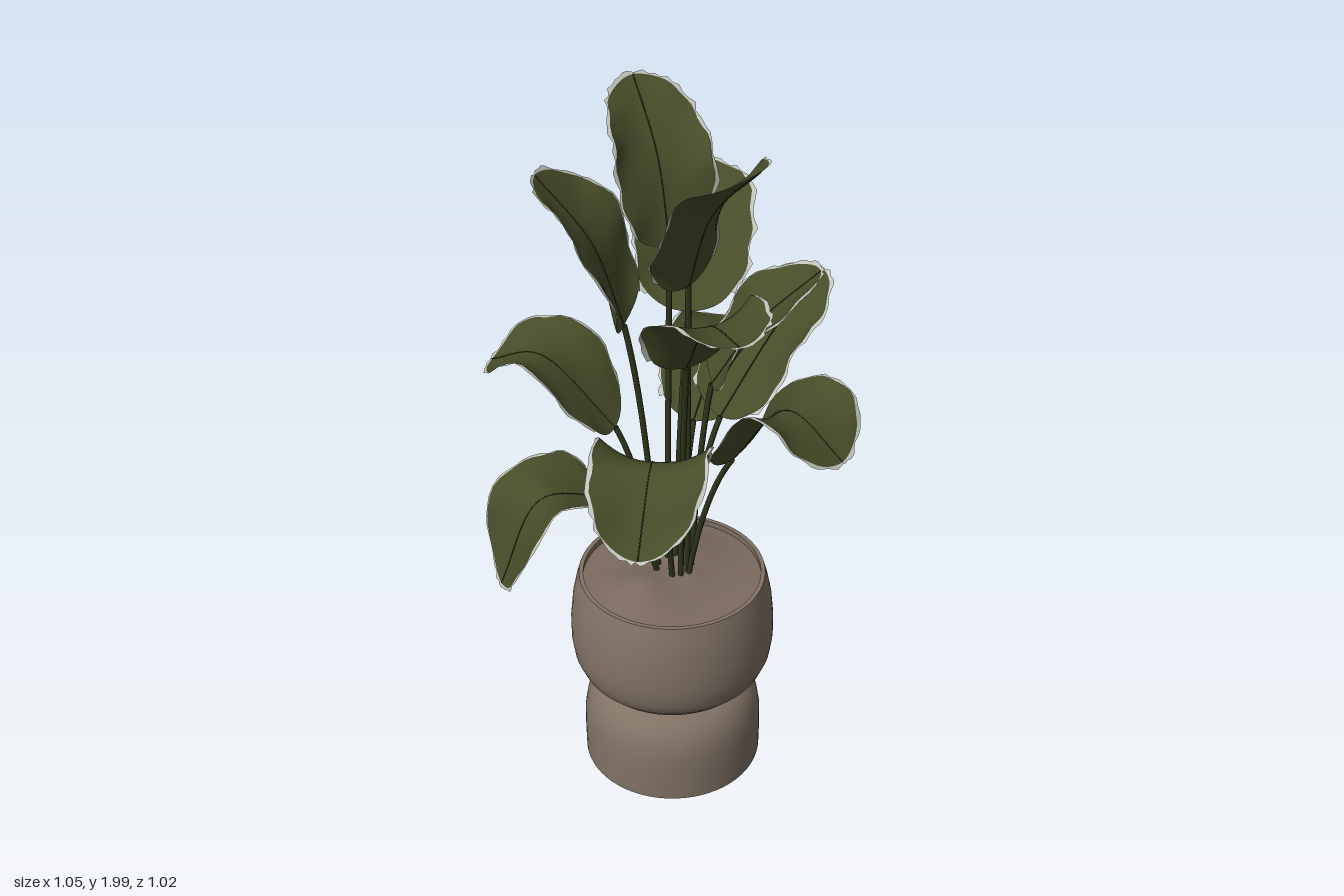
import * as THREE from 'three';

const material = (name, color) => {
  const m = new THREE.MeshStandardMaterial({ color, side: THREE.DoubleSide });
  m.name = name;
  return m;
};
const clay = material('clay', 0x817265);
const soilBrown = material('soil brown', 0x7c6b5f);
const leafGreen = material('leaf green', 0x474d29);
const stemGreen = material('stem green', 0x2e351b);
const rimGrey = material('pale leaf rim', 0xc2c4bd);

const CX = -0.02, CZ = -0.03; // pot axis

// Each leaf: base, middle and tip of the midrib, and half width
const LEAVES = [
  [[-0.09, 1.08, -0.17], [-0.18, 1.27, -0.36], [-0.24, 1.23, -0.48], 0.145],
  [[-0.19, 0.94, -0.10], [-0.37, 0.99, -0.17], [-0.48, 0.75, -0.22], 0.14],
  [[-0.10, 1.42, -0.12], [-0.14, 1.65, -0.19], [-0.21, 1.82, -0.31], 0.14],
  [[0.05, 1.60, -0.10], [0.08, 1.82, -0.17], [0.13, 1.98, -0.30], 0.125],
  [[-0.17, 1.09, 0.06], [-0.34, 1.25, 0.20], [-0.48, 1.09, 0.29], 0.14],
  [[-0.02, 1.56, 0.03], [-0.02, 1.79, 0.11], [0.00, 1.94, 0.24], 0.14],
  [[0.02, 1.07, 0.15], [0.03, 1.30, 0.33], [0.05, 1.21, 0.49], 0.145],
  [[0.07, 1.23, 0.03], [0.16, 1.41, 0.11], [0.28, 1.55, 0.21], 0.12],
  [[-0.07, 1.36, 0.07], [-0.15, 1.58, 0.22], [-0.21, 1.61, 0.37], 0.13],
  [[0.09, 1.40, -0.07], [0.25, 1.57, -0.20], [0.40, 1.64, -0.35], 0.15],
  [[0.14, 1.08, 0.00], [0.33, 1.24, 0.00], [0.52, 1.39, 0.01], 0.13],
  [[0.12, 1.04, -0.08], [0.33, 1.16, -0.17], [0.50, 1.13, -0.23], 0.13],
];

const vec = (a) => new THREE.Vector3(...a);
const hash = (n) => Math.abs(Math.sin(n * 127.1) * 43758.5453) % 1;

// Frame on the midrib: point, sideways direction and upper normal
function ribFrame(curve, t) {
  const p = curve.getPoint(t);
  const heading = curve.getPoint(1).sub(curve.getPoint(0)).setY(0).normalize();
  const side = new THREE.Vector3(heading.z, 0, -heading.x);
  const normal = new THREE.Vector3().crossVectors(curve.getTangent(t), side).normalize();
  return { p, side, normal };
}

// Point on a broad blunt blade, cupped across its width; s runs -1..1 across
function bladePoint(curve, halfWidth, seed, t, s) {
  const { p, side, normal } = ribFrame(curve, t);
  const q = Math.abs(2 * Math.pow(t, 0.84) - 1);
  const w = Math.max(0.04, Math.pow(1 - Math.pow(q, 3), 0.55));
  const ripple = 1 + 0.03 * Math.sin(t * 31 + seed + s) * s * s;
  const lift = s * s * w * w * (0.04 + 0.014 * Math.sin(t * 11 + seed + s * 2));
  return p.addScaledVector(side, s * w * halfWidth * ripple).addScaledVector(normal, lift);
}

const ROWS = 32, COLS = 16;
const rowT = (j) => 0.5 - 0.5 * Math.cos((Math.PI * j) / ROWS); // closer rows at both ends

function bladeGeometry(curve, halfWidth, seed) {
  const g = new THREE.PlaneGeometry(1, 1, COLS, ROWS);
  for (let j = 0; j <= ROWS; j++) {
    for (let i = 0; i <= COLS; i++) {
      const v = bladePoint(curve, halfWidth, seed, rowT(j), (i / COLS) * 2 - 1);
      g.attributes.position.setXYZ(j * (COLS + 1) + i, v.x, v.y, v.z);
    }
  }
  g.computeVertexNormals();
  return g;
}

// Ragged ribbon around the blade: up one side, round the tip, down the other
function rimGeometry(curve, halfWidth, seed) {
  const start = 6, edge = [];
  for (let j = start; j <= ROWS; j++) edge.push([rowT(j), -1]);
  for (let j = ROWS; j >= start; j--) edge.push([rowT(j), 1]);
  const pts = edge.map(([t, s]) => bladePoint(curve, halfWidth, seed, t, s));
  const n = pts.length;
  const g = new THREE.PlaneGeometry(1, 1, n - 1, 1);
  pts.forEach((p, k) => {
    const along = pts[Math.min(k + 1, n - 1)].clone().sub(pts[Math.max(k - 1, 0)]);
    const out = along.cross(ribFrame(curve, edge[k][0]).normal).normalize();
    if (out.dot(p.clone().sub(curve.getPoint(0.5))) < 0) out.negate();
    const o = p.clone().addScaledVector(out, 0.002 + 0.012 * hash(k + seed * 10));
    g.attributes.position.setXYZ(k, p.x, p.y, p.z);
    g.attributes.position.setXYZ(n + k, o.x, o.y, o.z);
  });
  g.computeVertexNormals();
  return g;
}

// Lathed pot surfaces, split where the edges are sharp
function createPot() {
  const pot = new THREE.Group();
  pot.name = 'pot';
  const profiles = {
    footWall: [[0.253, 0], [0.254, 0.08], [0.253, 0.14], [0.246, 0.185], [0.232, 0.22], [0.21, 0.245], [0.185, 0.258], [0.165, 0.263]],
    waist: [[0.165, 0.263], [0.16, 0.268], [0.165, 0.273]],
    bowlWall: [[0.165, 0.273], [0.2, 0.284], [0.235, 0.303], [0.262, 0.332], [0.278, 0.37], [0.285, 0.42], [0.285, 0.48], [0.278, 0.55], [0.268, 0.6], [0.259, 0.632]],
    rim: [[0.259, 0.632], [0.247, 0.632]],
    innerWall: [[0.247, 0.632], [0.252, 0.58]],
    footRing: [[0.19, 0], [0.253, 0]],
    footHollow: [[0, 0.2], [0.13, 0.195], [0.18, 0.16], [0.19, 0.1], [0.19, 0]],
  };
  for (const [name, points] of Object.entries(profiles)) {
    const g = new THREE.LatheGeometry(points.map(([x, y]) => new THREE.Vector2(x, y)), 64);
    const mesh = new THREE.Mesh(g, clay);
    mesh.name = name;
    pot.add(mesh);
  }

  // Uneven mound of soil
  const g = new THREE.RingGeometry(0.001, 0.25, 48, 10).rotateX(-Math.PI / 2);
  const pos = g.attributes.position;
  for (let i = 0; i < pos.count; i++) {
    const x = pos.getX(i), z = pos.getZ(i);
    const bump = (a, b, h, r) => h * Math.exp(-((x - a) ** 2 + (z - b) ** 2) / (r * r));
    pos.setY(i, 0.61 + bump(-0.12, 0, 0.05, 0.09) + bump(0.08, -0.03, 0.035, 0.11) + bump(0, 0.05, 0.015, 0.06));
  }
  g.computeVertexNormals();
  const soil = new THREE.Mesh(g, soilBrown);
  soil.name = 'soil';
  pot.add(soil);
  pot.position.set(CX, 0, CZ);
  return pot;
}

function createLeaf([base, middle, tip, halfWidth], index) {
  const leaf = new THREE.Group();
  leaf.name = `leaf${index + 1}`;
  const b = vec(base);
  const ribCurve = new THREE.CatmullRomCurve3([b, vec(middle), vec(tip)]);

  // Stem climbs steeply from the soil, then bends out into the blade
  const out = vec(tip).sub(b).setY(0).normalize();
  const root = new THREE.Vector3(-0.01, 0.61, -0.03).addScaledVector(out, 0.045);
  const bend = root.clone().lerp(b, 0.38);
  bend.y = THREE.MathUtils.lerp(root.y, b.y, 0.7);
  const stemCurve = new THREE.QuadraticBezierCurve3(root, bend, b);

  const parts = {
    blade: [bladeGeometry(ribCurve, halfWidth, index * 1.7), leafGreen],
    bladeRim: [rimGeometry(ribCurve, halfWidth, index * 1.7), rimGrey],
    midrib: [new THREE.TubeGeometry(ribCurve, 20, 0.002, 5), stemGreen],
    stem: [new THREE.TubeGeometry(stemCurve, 16, 0.008, 8), stemGreen],
  };
  for (const [name, [geometry, mat]] of Object.entries(parts)) {
    const mesh = new THREE.Mesh(geometry, mat);
    mesh.name = name;
    leaf.add(mesh);
  }
  return leaf;
}

export function createModel() {
  const model = new THREE.Group();
  model.name = 'pottedPlant';
  model.add(createPot());
  LEAVES.forEach((data, i) => model.add(createLeaf(data, i)));
  return model;
}
